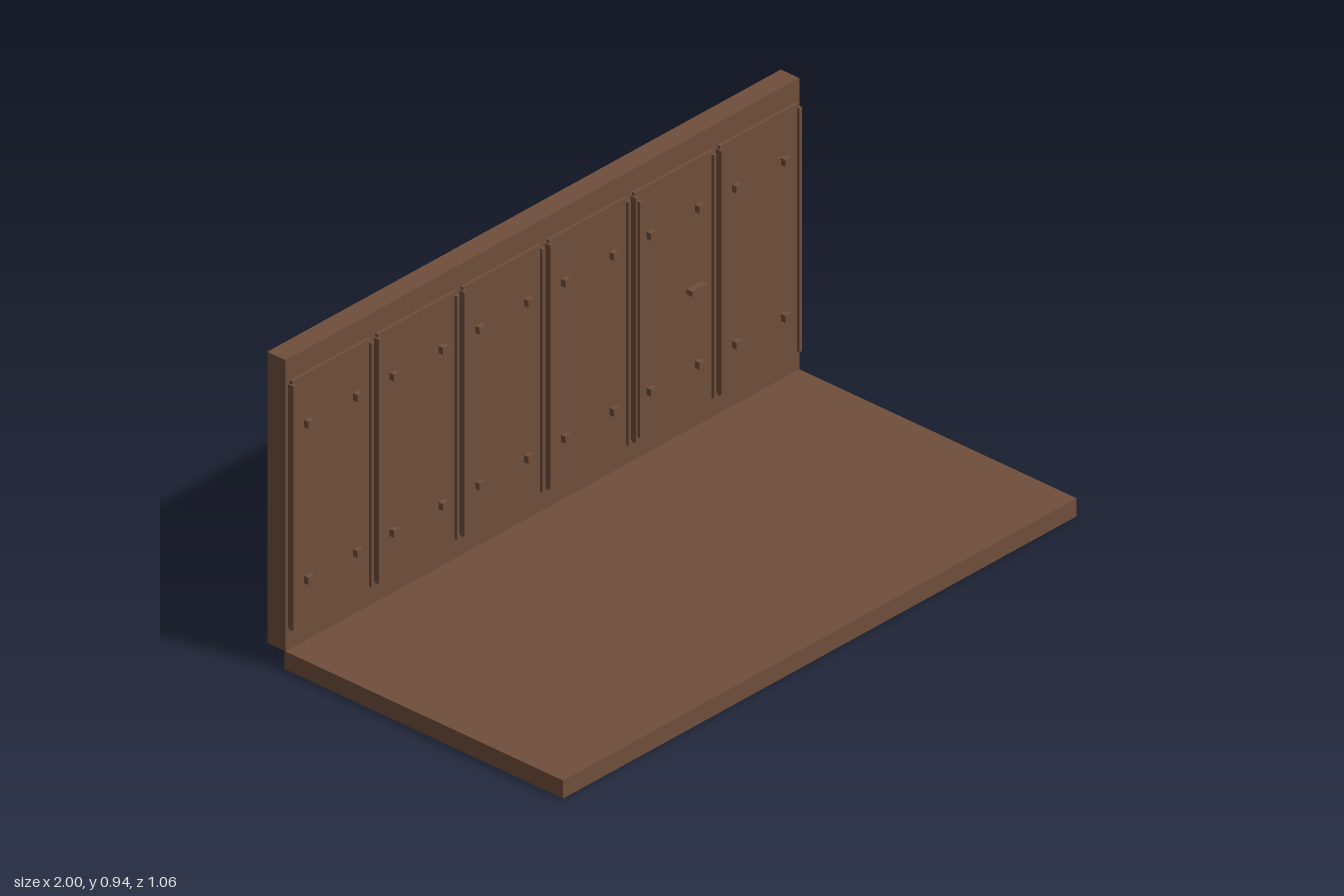
import * as THREE from 'three';

export function createModel() {
  const model = new THREE.Group();
  model.name = 'panelledWall';
  const brown = new THREE.MeshStandardMaterial({ color: 0x704f3b });
  brown.name = 'brown';

  // Box given by its lower and upper limits on each axis
  function box(name, parent, [x0, x1], [y0, y1], [z0, z1]) {
    const mesh = new THREE.Mesh(new THREE.BoxGeometry(x1 - x0, y1 - y0, z1 - z0), brown);
    mesh.position.set((x0 + x1) / 2, (y0 + y1) / 2, (z0 + z1) / 2);
    mesh.name = name;
    parent.add(mesh);
  }

  // Floor slab and the wall standing over its back edge
  box('floor', model, [-1, 1], [0, 0.055], [-0.469, 0.53]);
  box('wall', model, [-1, 1], [0.055, 0.945], [-0.53, -0.464]);

  // Six panels, each with two edge strips and four studs
  const wallFront = -0.466;
  for (let i = 0; i < 6; i++) {
    const panel = new THREE.Group();
    panel.name = 'panel' + (i + 1);
    panel.position.x = (i - 2.5) / 3;
    model.add(panel);
    box('panelBoard', panel, [-0.152, 0.152], [0.114, 0.878], [wallFront, -0.454]);
    for (const side of [-1, 1]) {
      const x = side * 0.152;
      box('edgeStrip', panel, [x - 0.005, x + 0.005], [0.123, 0.868], [wallFront, -0.445]);
      for (const y of [0.253, 0.73]) {
        const sx = side * 0.095;
        box('stud', panel, [sx - 0.011, sx + 0.011], [y - 0.011, y + 0.011], [-0.456, -0.438]);
      }
    }
  }

  // Door hinge strip and handle on the fifth panel
  box('hingeStrip', model, [0.35, 0.362], [0.135, 0.856], [wallFront, -0.437]);
  box('doorHandle', model, [0.55, 0.61], [0.482, 0.498], [-0.456, -0.433]);

  return model;
}
